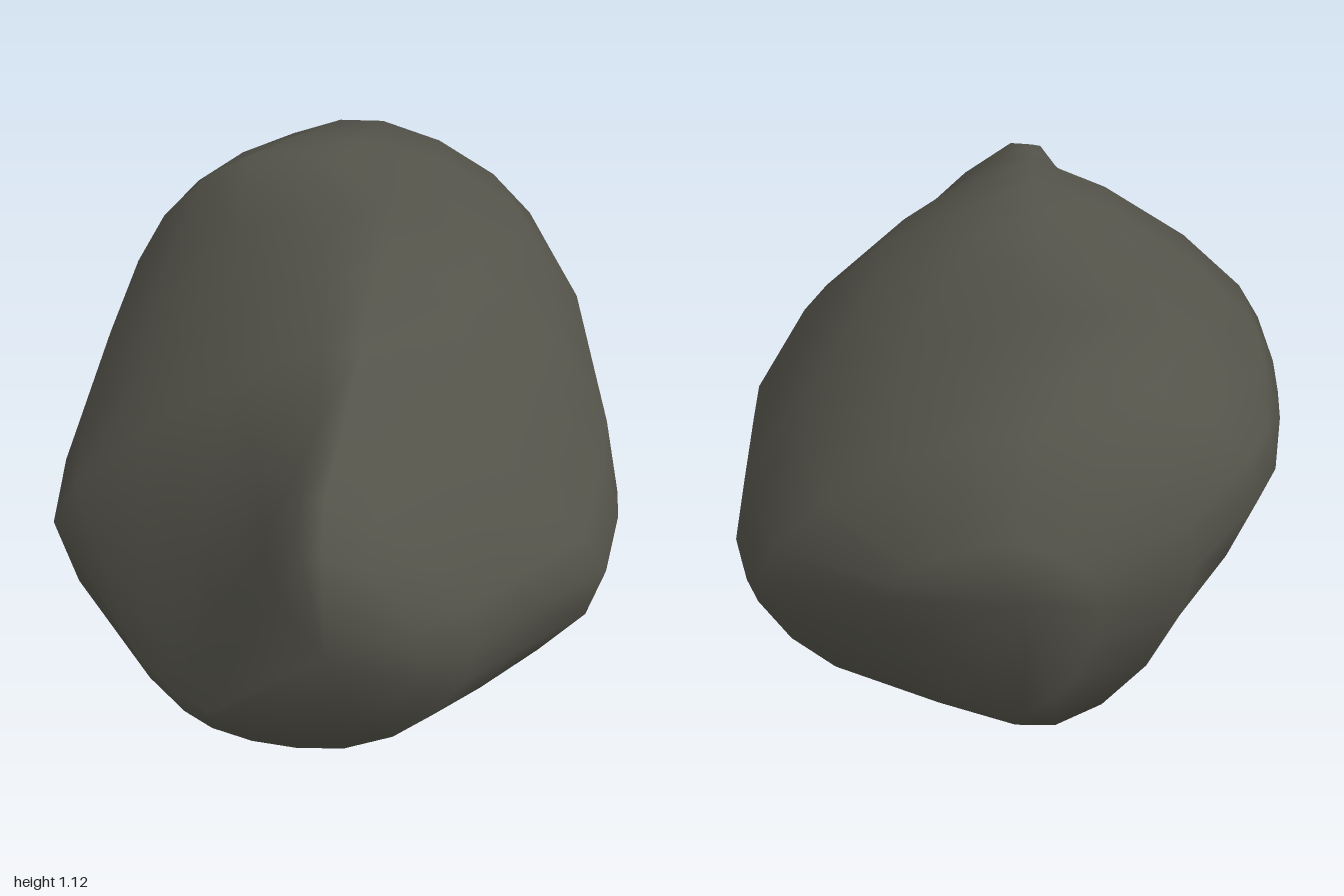
import * as THREE from 'three';

const SIDES = 18;

// One cross-section per row, front to back:
// z, left x/y, right x/y, top x/y, bottom x/y,
// then fullness of the upper left, upper right, lower right and lower left
const SECTIONS = [
  [0.90, -0.30, 0.38, 0.18, 0.56, -0.07, 0.85, -0.08, 0.33, 1.1, 1.7, 1.8, 1.9],
  [0.80, -0.39, 0.34, 0.30, 0.50, -0.07, 0.93, -0.05, 0.16, 1.15, 1.5, 1.9, 1.9],
  [0.65, -0.50, 0.32, 0.44, 0.48, -0.03, 1.01, -0.03, 0.08, 1.25, 1.3, 2.0, 2.0],
  [0.44, -0.71, 0.55, 0.64, 0.42, 0.00, 1.07, 0.00, 0.00, 1.35, 1.2, 2.0, 2.0],
  [0.20, -0.72, 0.56, 0.70, 0.40, 0.00, 1.13, 0.02, 0.05, 1.4, 1.5, 2.0, 1.9],
  [0.04, -0.71, 0.57, 0.72, 0.36, 0.00, 1.135, 0.06, 0.09, 1.5, 1.75, 2.0, 1.8],
  [-0.12, -0.69, 0.60, 0.71, 0.38, 0.00, 1.14, 0.14, 0.12, 1.6, 1.75, 2.1, 1.75],
  [-0.42, -0.63, 0.67, 0.68, 0.45, -0.24, 1.12, 0.44, 0.095, 1.6, 2.1, 2.2, 1.75],
  [-0.60, -0.56, 0.72, 0.63, 0.52, -0.10, 1.09, 0.28, 0.13, 1.8, 1.9, 1.7, 1.7],
  [-0.80, -0.40, 0.70, 0.56, 0.65, 0.02, 1.05, -0.06, 0.19, 1.9, 1.55, 1.4, 1.7],
  [-0.93, -0.19, 0.70, 0.26, 0.72, 0.02, 0.87, 0.00, 0.37, 1.9, 1.8, 1.7, 1.8],
];
const FRONT_TIP = [-0.03, 0.65, 1];
const BACK_TIP = [-0.03, 0.77, -1];

// Point on a lopsided superellipse through the four extremes of a section
function sectionPoint(s, angle) {
  const [z, lx, ly, rx, ry, tx, ty, bx, by, upperLeft, upperRight, lowerRight, lowerLeft] = s;
  const c = Math.cos(angle), n = Math.sin(angle);
  const [ex, ey] = c >= 0 ? [rx, ry] : [lx, ly];
  const [px, py] = n >= 0 ? [tx, ty] : [bx, by];
  const power = n >= 0 ? (c >= 0 ? upperRight : upperLeft) : (c >= 0 ? lowerRight : lowerLeft);
  const a = Math.pow(Math.abs(c), 2 / power);
  const b = Math.pow(Math.abs(n), 2 / power);
  // Each quadrant is centred under its top (or over its bottom), level with its side
  return [px + (ex - px) * a, ey + (py - ey) * b, z];
}

function rockGeometry() {
  const positions = [...FRONT_TIP];
  const index = [];
  for (const s of SECTIONS) {
    for (let i = 0; i < SIDES; i++) positions.push(...sectionPoint(s, (i / SIDES) * Math.PI * 2));
  }
  const back = positions.length / 3;
  positions.push(...BACK_TIP);
  const id = (r, i) => 1 + r * SIDES + (i % SIDES);
  const last = SECTIONS.length - 1;
  for (let i = 0; i < SIDES; i++) {
    index.push(0, id(0, i), id(0, i + 1));
    for (let r = 0; r < last; r++) {
      const a = id(r, i), b = id(r, i + 1), c = id(r + 1, i + 1), d = id(r + 1, i);
      index.push(a, d, b, b, d, c);
    }
    index.push(back, id(last, i + 1), id(last, i));
  }
  const g = new THREE.BufferGeometry();
  g.setAttribute('position', new THREE.Float32BufferAttribute(positions, 3));
  g.setIndex(index);
  g.computeVertexNormals();
  return g;
}

export function createModel() {
  const group = new THREE.Group();
  group.name = 'boulder';
  const stone = new THREE.MeshStandardMaterial({ color: 0x54534a });
  stone.name = 'dark stone';
  const rock = new THREE.Mesh(rockGeometry(), stone);
  rock.name = 'rock';
  group.add(rock);
  return group;
}
